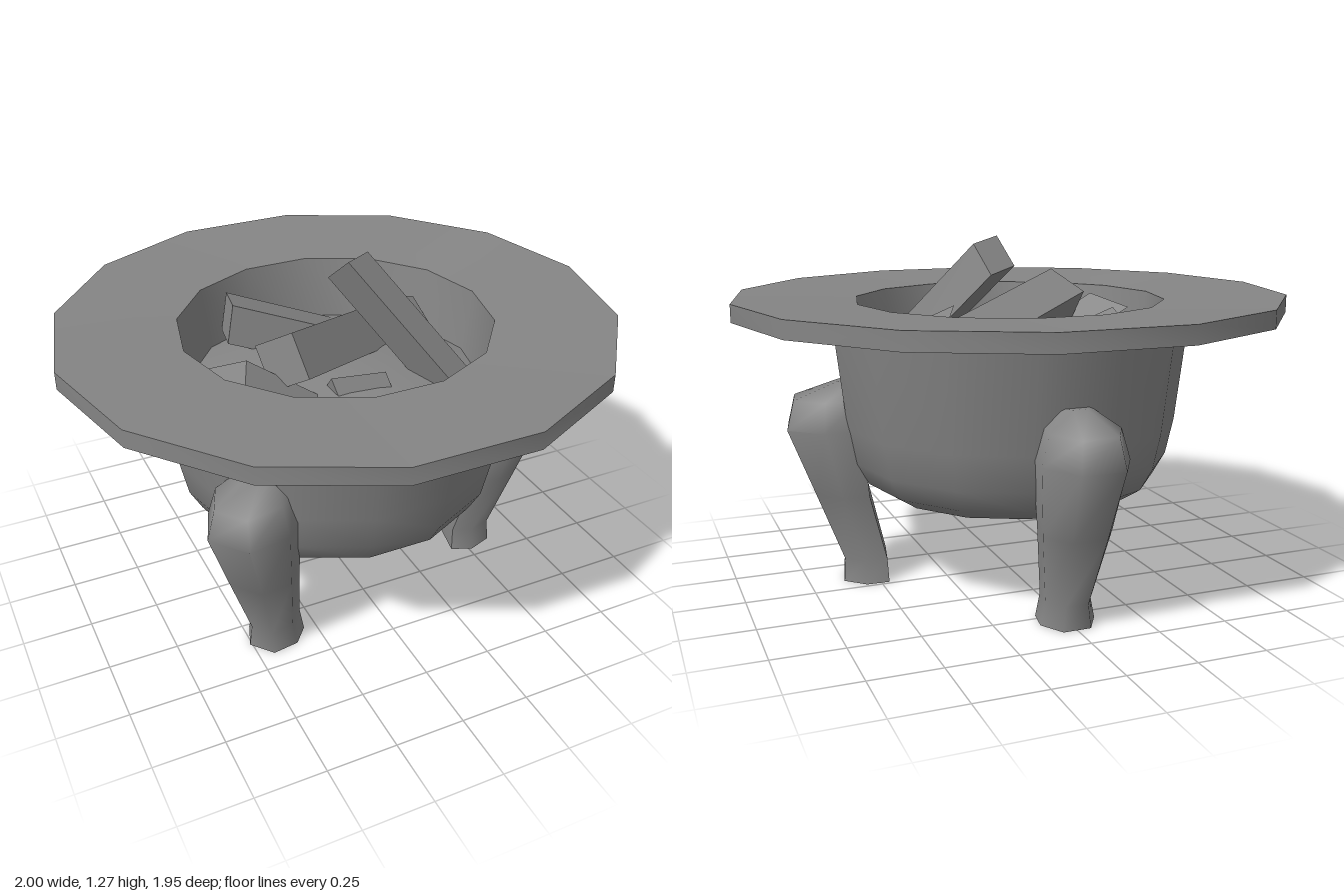
import * as THREE from 'three';
import { toCreasedNormals } from 'three/addons/utils/BufferGeometryUtils.js';

const SIDES = 14;
const material = new THREE.MeshStandardMaterial({ color: 0x858585 });

function addMesh(parent, name, geometry) {
  const mesh = new THREE.Mesh(geometry, material);
  mesh.name = name;
  parent.add(mesh);
  return mesh;
}

// Turned part from [radius, y] pairs, with a corner pointing along +x
function turned(profile) {
  const points = profile.map(([r, y]) => new THREE.Vector2(r, y));
  return toCreasedNormals(new THREE.LatheGeometry(points, SIDES, Math.PI / 2), 0.8);
}

// Leg lofted upwards through D-shaped sections: flat inside, rounded outside
function legGeometry() {
  // y, inner radius, outer radius, half width
  const rows = [
    [0, 0.475, 0.64, 0.1],
    [0.085, 0.48, 0.635, 0.083],
    [0.34, 0.54, 0.73, 0.125],
    [0.59, 0.56, 0.825, 0.155],
    [0.695, 0.57, 0.8, 0.125],
    [0.755, 0.57, 0.64, 0.05],
  ];
  const positions = [];
  const index = [];
  const n = 6;
  for (const [y, inner, outer, w] of rows) {
    const mid = inner + (outer - inner) * 0.5;
    for (const [x, z] of [[outer, -0.5], [outer, 0.5], [mid, 1], [inner, 0.85], [inner, -0.85], [mid, -1]]) {
      positions.push(x, y, z * w);
    }
  }
  for (let i = 0; i < rows.length - 1; i++) {
    for (let j = 0; j < n; j++) {
      const a = i * n + j;
      const b = i * n + (j + 1) % n;
      index.push(a, a + n, b, b, a + n, b + n);
    }
  }
  const top = (rows.length - 1) * n;
  for (let j = 1; j < n - 1; j++) {
    index.push(0, j, j + 1, top, top + j + 1, top + j);
  }
  const geometry = new THREE.BufferGeometry();
  geometry.setAttribute('position', new THREE.Float32BufferAttribute(positions, 3));
  geometry.setIndex(index);
  return toCreasedNormals(geometry, 1.2);
}

// Slanted block spanned by three right-handed edges from one corner
function addLog(parent, corner, ...edges) {
  const basis = edges.map((e) => new THREE.Vector3(...e));
  const geometry = new THREE.BoxGeometry(1, 1, 1).translate(0.5, 0.5, 0.5);
  geometry.applyMatrix4(new THREE.Matrix4().makeBasis(...basis).setPosition(...corner));
  addMesh(parent, 'log', geometry);
}

export function createModel() {
  const model = new THREE.Group();
  model.name = 'brazier';

  // Tapered bowl with a rounded lower edge
  addMesh(model, 'bowl', turned([
    [0, 0.345], [0.47, 0.345], [0.54, 0.39], [0.585, 0.47], [0.613, 0.6], [0.66, 1.005],
  ]));

  // Wide rim, dipping slightly towards the inner wall
  addMesh(model, 'rim', turned([
    [0.56, 1], [1, 1], [1, 1.063], [0.565, 1.043], [0.525, 0.78],
  ]));

  // Low mound filling the bowl
  addMesh(model, 'ashBed', turned([[0.535, 0.81], [0.4, 0.85], [0.2, 0.885], [0, 0.895]]));

  // Three legs: angle from +x towards +z, and shift along that direction
  const leg = legGeometry();
  for (const [degrees, shift] of [[12, -0.012], [140.5, -0.022], [270, 0]]) {
    const angle = THREE.MathUtils.degToRad(degrees);
    const mesh = addMesh(model, 'leg', leg);
    mesh.rotation.y = -angle;
    mesh.position.set(Math.cos(angle) * shift, 0, Math.sin(angle) * shift);
  }

  // Heaped logs: two long ones on top, the rest sunk into the ash
  const logs = new THREE.Group();
  logs.name = 'logs';
  model.add(logs);
  addLog(logs, [0.035, 1.267, 0.03], [0.283, -0.42, 0.355], [-0.022, -0.1, -0.12], [0.125, -0.02, -0.1]);
  addLog(logs, [-0.245, 1.125, 0.18], [0.49, -0.125, -0.325], [0.025, -0.14, 0.085], [-0.09, -0.08, -0.11]);
  addLog(logs, [-0.24, 1.0, -0.47], [0.54, -0.22, 0.06], [-0.04, 0.03, 0.18], [-0.04, -0.13, 0.04]);
  addLog(logs, [-0.39, 1.03, 0.13], [0.3, -0.2, 0.08], [-0.06, -0.02, 0.14], [-0.12, -0.05, -0.09]);
  addLog(logs, [0.25, 1.04, -0.12], [0.1, -0.24, 0.17], [0.06, -0.06, -0.095], [0.15, -0.05, -0.035]);
  addLog(logs, [-0.11, 0.93, 0.2], [0.2, -0.01, 0.02], [0.02, -0.1, 0.06], [0, -0.1, -0.08]);

  return model;
}
